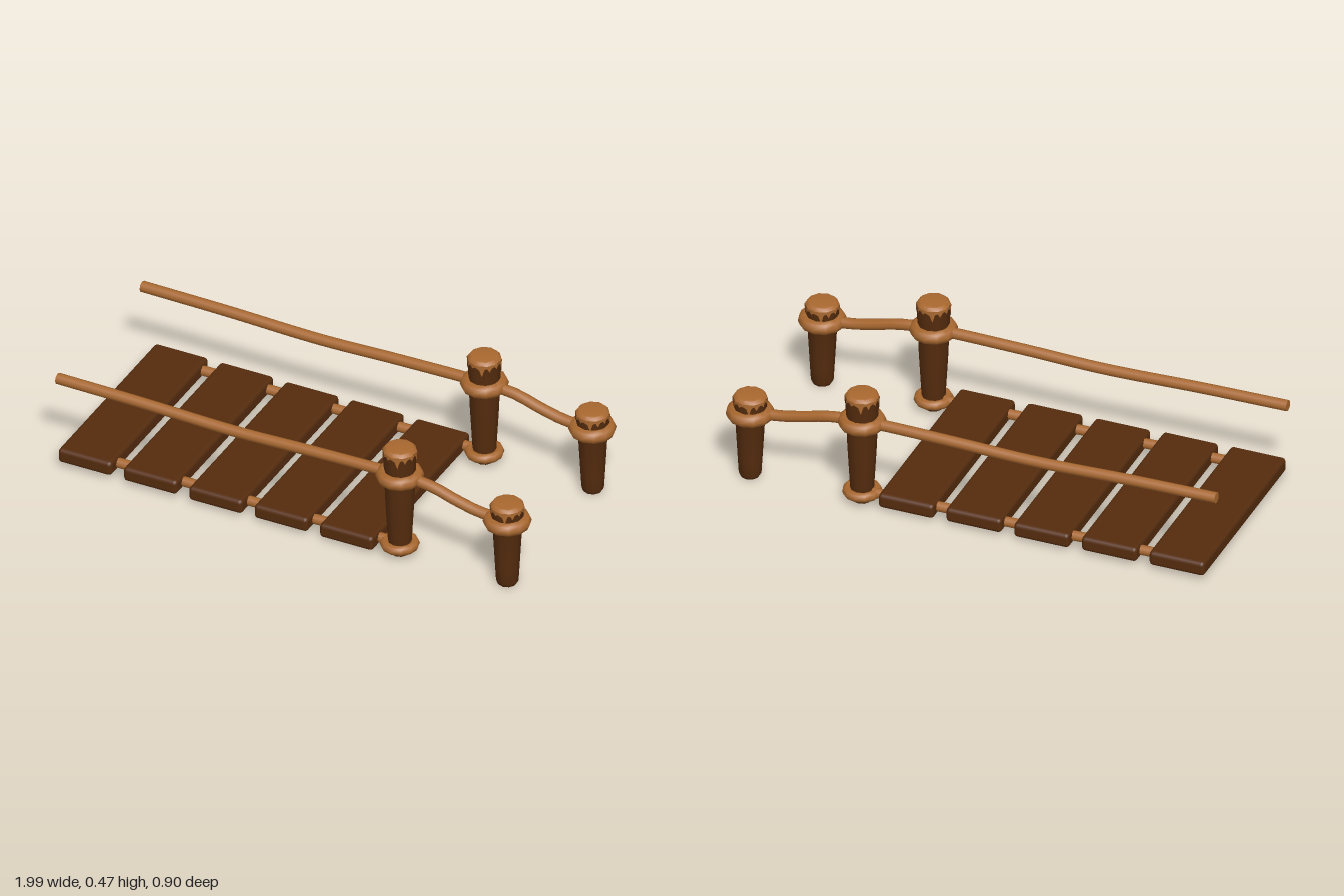
import * as THREE from 'three';
import { toCreasedNormals } from 'three/addons/utils/BufferGeometryUtils.js';
import { RoundedBoxGeometry } from 'three/addons/geometries/RoundedBoxGeometry.js';

const SIDES = 10;

export function createModel() {
  const model = new THREE.Group();
  model.name = 'ropeBridge';
  const darkWood = new THREE.MeshStandardMaterial({ color: 0x552c0e });
  darkWood.name = 'darkWood';
  const paleWood = new THREE.MeshStandardMaterial({ color: 0xa9682f });
  paleWood.name = 'ropeAndCutWood';

  const add = (parent, name, geometry, material, x = 0, y = 0, z = 0) => {
    const mesh = new THREE.Mesh(geometry, material);
    mesh.name = name;
    mesh.position.set(x, y, z);
    parent.add(mesh);
    return mesh;
  };

  const lathe = (points) => toCreasedNormals(
    new THREE.LatheGeometry(points.map(([r, y]) => new THREE.Vector2(r, y)), SIDES), 0.68);

  // Pale bark-free rim with a ragged lower edge, lying on the faceted post
  const raggedRim = (radius, top) => {
    const segments = 40;
    const drips = [0.012, 0.02, 0.05, 0.016, 0.01, 0.03, 0.014, 0.01, 0.022, 0.012];
    const geo = new THREE.CylinderGeometry(1, 1, 1, segments, 1, true);
    const pos = geo.attributes.position;
    const step = (2 * Math.PI) / SIDES;
    for (let i = 0; i < pos.count; i++) {
      const k = i % (segments + 1);
      const a = (k / segments) * 2 * Math.PI;
      const facet = Math.cos(step / 2) / Math.cos((a % step) - step / 2);
      const isTop = pos.getY(i) > 0;
      const y = isTop ? top : top - drips[(k % segments) % drips.length];
      const r = (radius - (top - y) * 0.05 + 0.0012) * facet;
      pos.setXYZ(i, Math.sin(a) * r, y, Math.cos(a) * r);
    }
    return geo;
  };

  const ring = (parent, name, radius, tube, y) => {
    const geo = new THREE.TorusGeometry(radius, tube, 8, 12);
    geo.rotateX(Math.PI / 2);
    add(parent, name, geo, paleWood, 0, y, 0);
  };

  // Tapered post with a pale cut top and rope wound round it
  const addPost = (name, x, z, height, ropeY, hasFootRope) => {
    const post = new THREE.Group();
    post.name = name;
    post.position.set(x, 0, z);
    model.add(post);
    add(post, 'postTrunk', lathe([
      [0, 0], [0.036, 0], [0.043, 0.012], [0.047, 0.08], [0.056, 0.24],
      [0.061, height - 0.1], [0.066, height - 0.014],
    ]), darkWood);
    add(post, 'cutTop', lathe([
      [0.066, height - 0.014], [0.056, height - 0.002], [0.048, height], [0, height - 0.002],
    ]), paleWood);
    add(post, 'raggedRim', raggedRim(0.066, height - 0.013), paleWood);
    ring(post, 'handRopeLoop', 0.066, 0.027, ropeY);
    if (hasFootRope) ring(post, 'footRopeLoop', 0.057, 0.019, 0.04);
  };

  // Rope along a smooth path, closed at both ends
  const addRope = (name, points, radius) => {
    const curve = new THREE.CatmullRomCurve3(points.map((p) => new THREE.Vector3(...p)));
    const rope = new THREE.Group();
    rope.name = name;
    model.add(rope);
    add(rope, 'ropeStrand', new THREE.TubeGeometry(curve, 40, radius, 8), paleWood);
    for (const t of [0, 1]) {
      const end = add(rope, 'ropeEnd', new THREE.CircleGeometry(radius, 8), paleWood);
      const dir = curve.getTangent(t).multiplyScalar(t ? 1 : -1);
      end.position.copy(curve.getPoint(t));
      end.quaternion.setFromUnitVectors(new THREE.Vector3(0, 0, 1), dir);
    }
  };

  // Deck planks, sagging slightly towards the middle
  const plankHeights = [0.049, 0.047, 0.042, 0.043, 0.04];
  plankHeights.forEach((y, i) => {
    const geo = new RoundedBoxGeometry(0.226, 0.06, 0.82, 2, 0.016);
    add(model, 'plank' + (i + 1), geo, darkWood, -0.856 + i * 0.276, y, 0.009);
  });

  // Posts and ropes on both sides
  for (const [side, s, z] of [['left', 1, 0.355], ['right', -1, -0.35]]) {
    const label = s > 0 ? 'front' : 'back';
    addPost(label + 'TallPost', 0.445, z, 0.475, 0.348, true);
    addPost(label + 'ShortPost', 0.9, z + 0.003 * s, 0.362, 0.28, false);
    addRope(label + 'HandRope', [
      [-1, 0.352, z], [-0.65, 0.347, z], [-0.25, 0.336, z], [0.1, 0.344, z],
      [0.45, 0.346, z], [0.58, 0.335, z], [0.68, 0.308, z + 0.004], [0.79, 0.284, z + 0.006],
      [0.9, 0.28, z + 0.004],
    ], 0.022);
    addRope(label + 'FootRope', [
      [-0.93, 0.049, z], [-0.5, 0.046, z], [-0.15, 0.041, z], [0.2, 0.042, z], [0.44, 0.04, z],
    ], 0.02);
  }
  return model;
}
